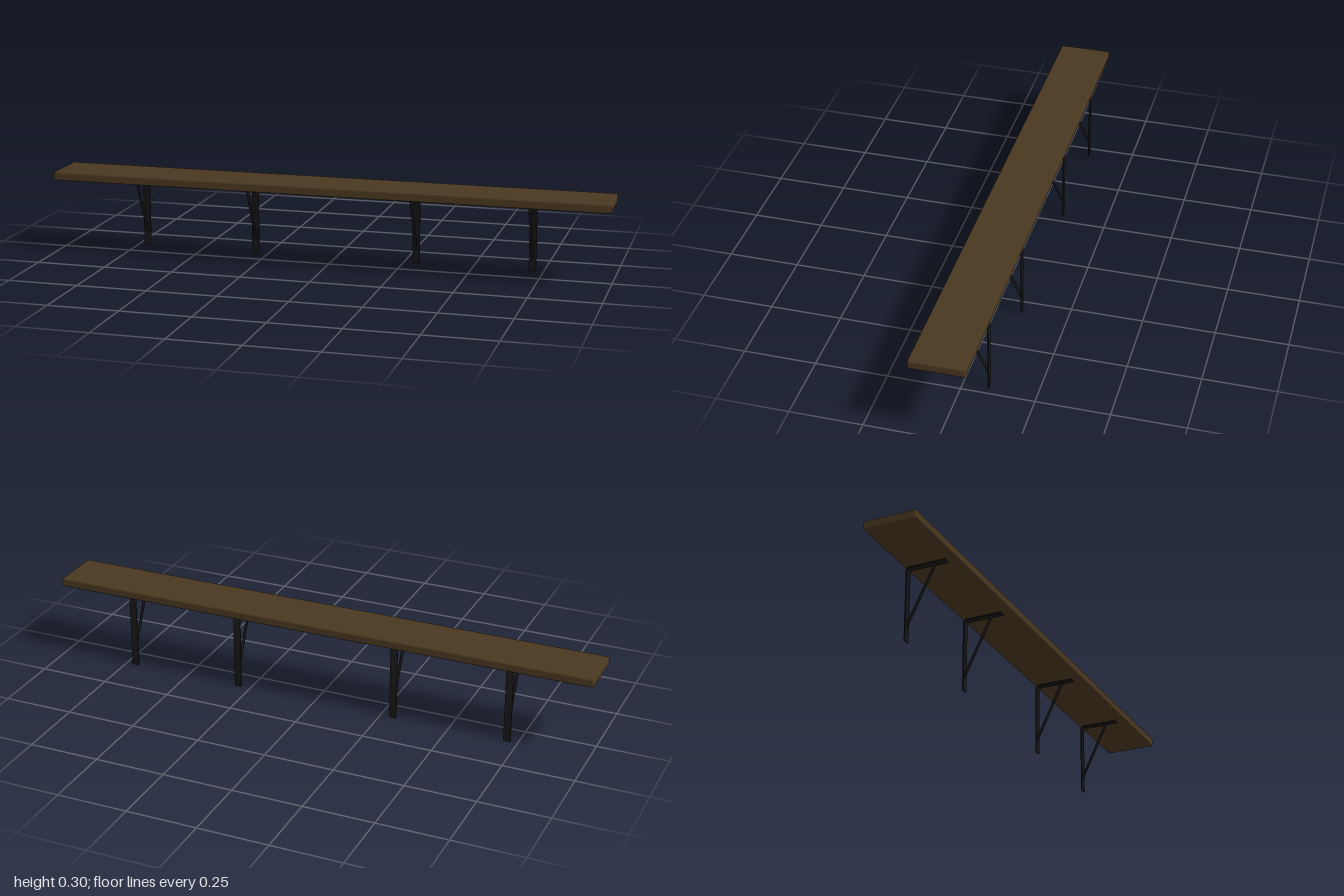
import * as THREE from 'three';
import { RoundedBoxGeometry } from 'three/addons/geometries/RoundedBoxGeometry.js';
import { toCreasedNormals } from 'three/addons/utils/BufferGeometryUtils.js';

const wood = new THREE.MeshStandardMaterial({ color: 0x4a3820 });
const iron = new THREE.MeshStandardMaterial({ color: 0x161616 });

const STRAP_W = 0.026, STRAP_T = 0.004;
const BACK = -0.089, FRONT = 0.055, TOP = 0.266, BEND = 0.016;

// Flat bar bent into an L: profile in (z, y), extruded across x
function strapGeometry() {
  const inner = BEND - STRAP_T, cz = BACK + BEND, cy = TOP - BEND;
  const s = new THREE.Shape();
  s.moveTo(BACK, 0);
  s.lineTo(BACK + STRAP_T, 0);
  s.lineTo(BACK + STRAP_T, cy);
  s.absarc(cz, cy, inner, Math.PI, Math.PI / 2, true);
  s.lineTo(FRONT, TOP - STRAP_T);
  s.lineTo(FRONT, TOP);
  s.lineTo(cz, TOP);
  s.absarc(cz, cy, BEND, Math.PI / 2, Math.PI, false);
  s.lineTo(BACK, 0);
  const g = new THREE.ExtrudeGeometry(s, { depth: STRAP_W, bevelEnabled: false, curveSegments: 8 });
  g.translate(0, 0, -STRAP_W / 2).rotateY(-Math.PI / 2);
  return toCreasedNormals(g, 0.6);
}

// Diagonal round rod, its ends mitred flush against the two legs of the strap
function braceGeometry() {
  const a = new THREE.Vector3(0, 0.055, BACK + STRAP_T / 2);
  const b = new THREE.Vector3(0, TOP - STRAP_T / 2, 0.014);
  const dir = b.clone().sub(a), length = dir.length();
  dir.normalize();
  const g = new THREE.CylinderGeometry(0.005, 0.005, length, 16);
  g.rotateX(Math.atan2(dir.z, dir.y));
  const mid = a.clone().add(b).multiplyScalar(0.5);
  g.translate(mid.x, mid.y, mid.z);
  const p = g.attributes.position, v = new THREE.Vector3();
  for (let i = 0; i < p.count; i++) {
    v.fromBufferAttribute(p, i);
    const upper = v.clone().sub(mid).dot(dir) > 0;
    const slide = upper ? (b.y - v.y) / dir.y : (a.z - v.z) / dir.z;
    v.addScaledVector(dir, slide);
    p.setXYZ(i, v.x, v.y, v.z);
  }
  return toCreasedNormals(g, 0.6);
}

export function createModel() {
  const model = new THREE.Group();
  model.name = 'wallShelf';

  // Plank with softened edges
  const plank = new THREE.Mesh(new RoundedBoxGeometry(2, 0.031, 0.188, 2, 0.006), wood);
  plank.name = 'shelfPlank';
  plank.position.y = 0.2805;
  model.add(plank);

  // Four identical brackets, mirrored in pairs
  const strapGeo = strapGeometry(), braceGeo = braceGeometry();
  for (const x of [-0.712, -0.297, 0.297, 0.712]) {
    const bracket = new THREE.Group();
    bracket.name = 'bracket';
    const strap = new THREE.Mesh(strapGeo, iron);
    strap.name = 'bracketStrap';
    const brace = new THREE.Mesh(braceGeo, iron);
    brace.name = 'bracketBrace';
    bracket.add(strap, brace);
    bracket.position.x = x;
    model.add(bracket);
  }
  return model;
}
